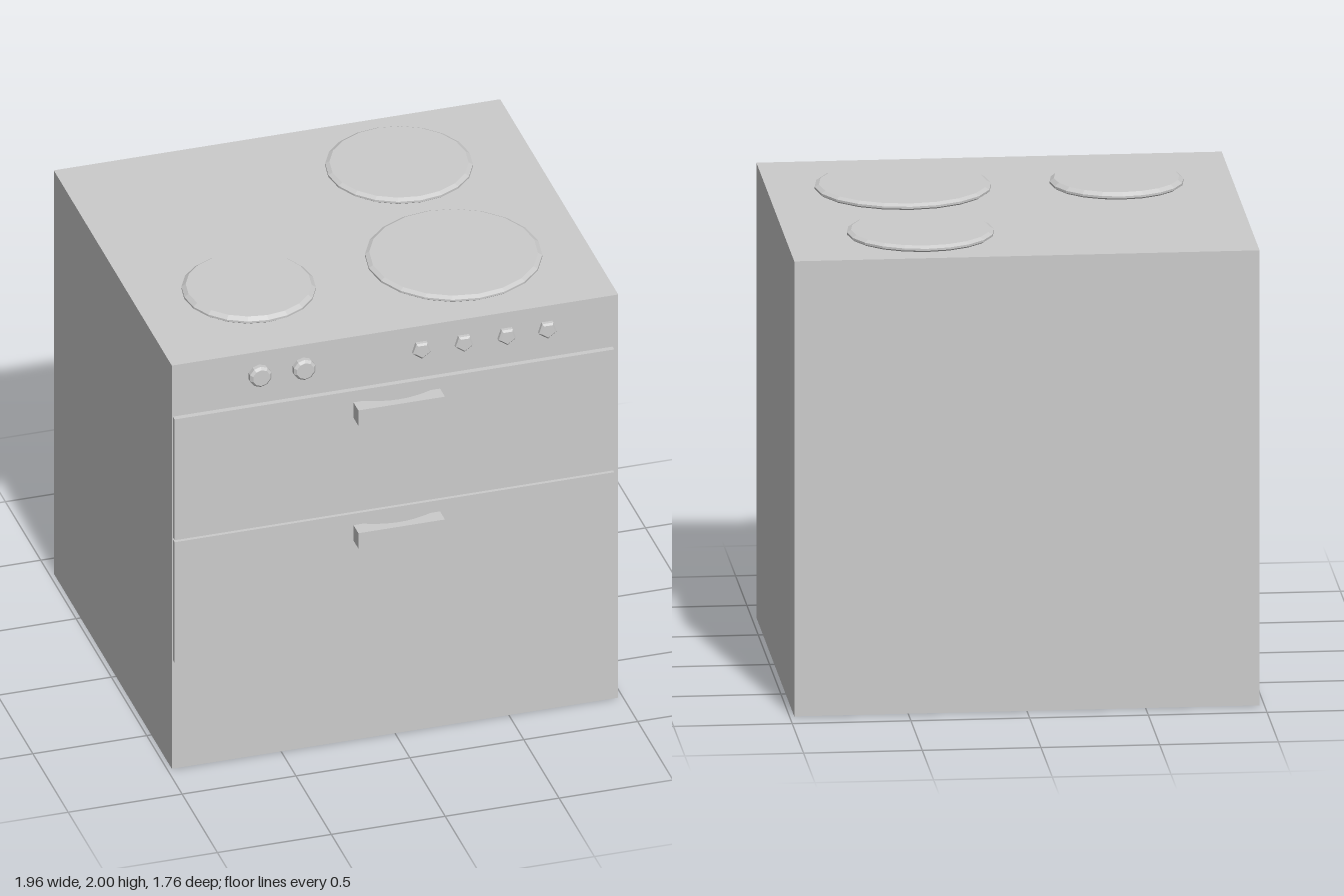
import * as THREE from 'three';

const material = new THREE.MeshStandardMaterial({ color: 0xcccccc, flatShading: true });

function add(parent, name, geometry, x, y, z) {
  const mesh = new THREE.Mesh(geometry, material);
  mesh.name = name;
  mesh.position.set(x, y, z);
  parent.add(mesh);
  return mesh;
}

// Faceted disc turned from [radius, height] pairs
function turned(points, sides, start = 0) {
  return new THREE.LatheGeometry(points.map(([r, h]) => new THREE.Vector2(r, h)), sides, start);
}

// Straight-fronted grip with an arched hollow behind it
function handleGeometry() {
  const shape = new THREE.Shape();
  shape.moveTo(-0.19, 0);
  shape.lineTo(-0.19, -0.07);
  shape.lineTo(0.19, -0.07);
  shape.lineTo(0.19, 0);
  shape.lineTo(0.15, 0);
  shape.quadraticCurveTo(0.07, -0.033, 0, -0.033);
  shape.quadraticCurveTo(-0.07, -0.033, -0.15, 0);
  const geometry = new THREE.ExtrudeGeometry(shape, { depth: 0.075, bevelEnabled: false, curveSegments: 4 });
  geometry.rotateX(-Math.PI / 2);
  geometry.translate(0, -0.0375, 0);
  return geometry;
}

export function createModel() {
  const stove = new THREE.Group();
  stove.name = 'stove';

  // Cabinet
  add(stove, 'cabinet', new THREE.BoxGeometry(1.96, 1.97, 1.67), 0, 0.985, -0.045);

  // Two front panels, each with a handle
  for (const [name, y, handleY] of [['oven', 1.425, 1.627], ['drawer', 0.825, 1.027]]) {
    const front = new THREE.Group();
    front.name = name + 'Front';
    add(front, name + 'Panel', new THREE.BoxGeometry(1.93, 0.59, 0.035), -0.01, y, 0.797);
    add(front, name + 'Handle', handleGeometry(), 0, handleY, 0.814);
    stove.add(front);
  }

  // Hotplates with a chamfered rim: x, z, radius, height
  for (const [x, z, r, h] of [[-0.49, 0.298, 0.282, 0.03], [0.41, -0.475, 0.31, 0.026], [0.41, 0.298, 0.372, 0.026]]) {
    const profile = [[r - 0.01, 0], [r, 0.007], [r, 0.016], [r - 0.018, h], [0, h]];
    add(stove, 'hotplate', turned(profile, 20), x, 1.97, z);
  }

  // Control knobs: x, radius, depth, sides
  const knobs = [[-0.6, 0.049, 0.045, 10], [-0.407, 0.049, 0.045, 10]];
  for (const x of [0.11, 0.297, 0.485, 0.663]) knobs.push([x, 0.041, 0.035, 5]);
  for (const [x, r, d, sides] of knobs) {
    const profile = [[r * 0.8, 0], [r, d * 0.3], [r, d * 0.75], [r * 0.78, d], [0, d]];
    const knob = add(stove, 'knob', turned(profile, sides), x, 1.867, 0.79);
    knob.rotation.x = Math.PI / 2;
  }

  return stove;
}
